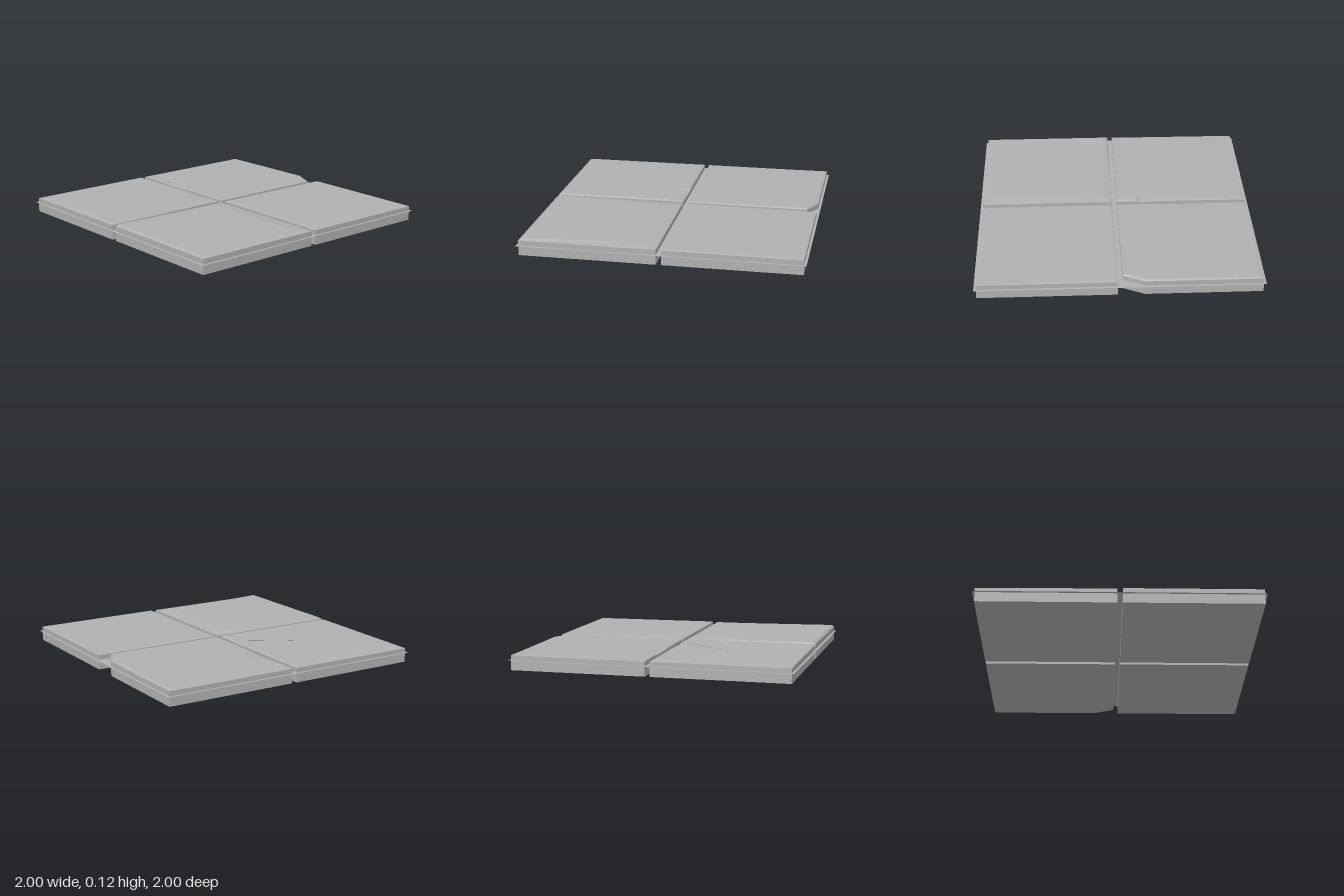
import * as THREE from 'three';

const stone = new THREE.MeshStandardMaterial({ color: 0xb0b0b0, side: THREE.DoubleSide });
stone.name = 'grey stone';
stone.flatShading = true;

// One slab: vertical walls, a worn crown and a centre point.
// Each corner is [edge x, edge z, rim y, crown x, crown z, crown y], counter-clockwise from above.
function slab(name, corners, centre) {
  const pos = [];
  const tri = (a, b, c) => pos.push(...a, ...b, ...c);
  const quad = (a, b, c, d) => { tri(a, b, c); tri(a, c, d); };
  const base = corners.map(([x, z]) => [x, 0, z]);
  const rim = corners.map(([x, z, y]) => [x, y, z]);
  const crown = corners.map((c) => [c[3], c[5], c[4]]);
  const under = [centre[0], 0, centre[2]];
  corners.forEach((_, i) => {
    const j = (i + 1) % corners.length;
    quad(base[i], base[j], rim[j], rim[i]);
    quad(rim[i], rim[j], crown[j], crown[i]);
    tri(crown[i], crown[j], centre);
    tri(base[j], base[i], under);
  });
  const geo = new THREE.BufferGeometry();
  geo.setAttribute('position', new THREE.Float32BufferAttribute(pos, 3));
  geo.computeVertexNormals();
  const mesh = new THREE.Mesh(geo, stone);
  mesh.name = name;
  return mesh;
}

export function createModel() {
  const model = new THREE.Group();
  model.name = 'pavingSlabs';
  const a = 0.018, b = 0.983;

  // Slab with a broken outer corner and a chipped front edge
  model.add(slab('brokenCornerSlab', [
    [-b, -b, 0.105, -0.97, -0.97, 0.110],
    [-b, -0.5, 0.104, -0.975, -0.5, 0.106],
    [-b, -a, 0.104, -0.97, -0.03, 0.107],
    [-0.71, -a, 0.105, -0.7, -0.03, 0.110],
    [-0.69, -a, 0.101, -0.66, -0.10, 0.110],
    [-0.46, -a, 0.101, -0.52, -0.10, 0.110],
    [-0.44, -a, 0.105, -0.45, -0.03, 0.111],
    [-a, -a, 0.107, -0.03, -0.03, 0.114],
    [-a, -0.91, 0.106, -0.03, -0.905, 0.115],
    [-0.17, -b, 0.106, -0.175, -0.97, 0.115],
  ], [-0.5, 0.113, -0.5]));

  // Slab with a chipped back edge and a worn front
  model.add(slab('chippedSlab', [
    [-b, a, 0.104, -0.97, 0.035, 0.108],
    [-b, b, 0.102, -0.82, 0.84, 0.110],
    [-a, b, 0.107, -0.03, 0.965, 0.116],
    [-a, a, 0.108, -0.035, 0.04, 0.117],
    [-0.16, a, 0.106, -0.17, 0.04, 0.115],
    [-0.22, a, 0.102, -0.22, 0.12, 0.111],
    [-0.31, a, 0.102, -0.31, 0.12, 0.110],
    [-0.34, a, 0.106, -0.34, 0.035, 0.112],
  ], [-0.48, 0.113, 0.48]));

  // Slab with a raised trapezoid top
  model.add(slab('raisedSlab', [
    [a, a, 0.106, 0.10, 0.125, 0.118],
    [a, b, 0.108, 0.03, 0.965, 0.120],
    [b, b, 0.108, 0.96, 0.965, 0.120],
    [b, a, 0.106, 0.89, 0.125, 0.118],
  ], [0.5, 0.119, 0.5]));

  // Nearly flat slab
  model.add(slab('flatSlab', [
    [a, -b, 0.105, 0.03, -0.97, 0.109],
    [a, -a, 0.107, 0.03, -0.035, 0.113],
    [b, -a, 0.106, 0.97, -0.035, 0.111],
    [b, -b, 0.104, 0.97, -0.97, 0.107],
  ], [0.5, 0.112, -0.5]));

  // Thin mortar sheet running through the joints and past the edges
  const mortar = new THREE.Mesh(new THREE.PlaneGeometry(2, 2), stone);
  mortar.rotation.x = -Math.PI / 2;
  mortar.position.y = 0.07;
  mortar.name = 'mortarSheet';
  model.add(mortar);

  return model;
}
